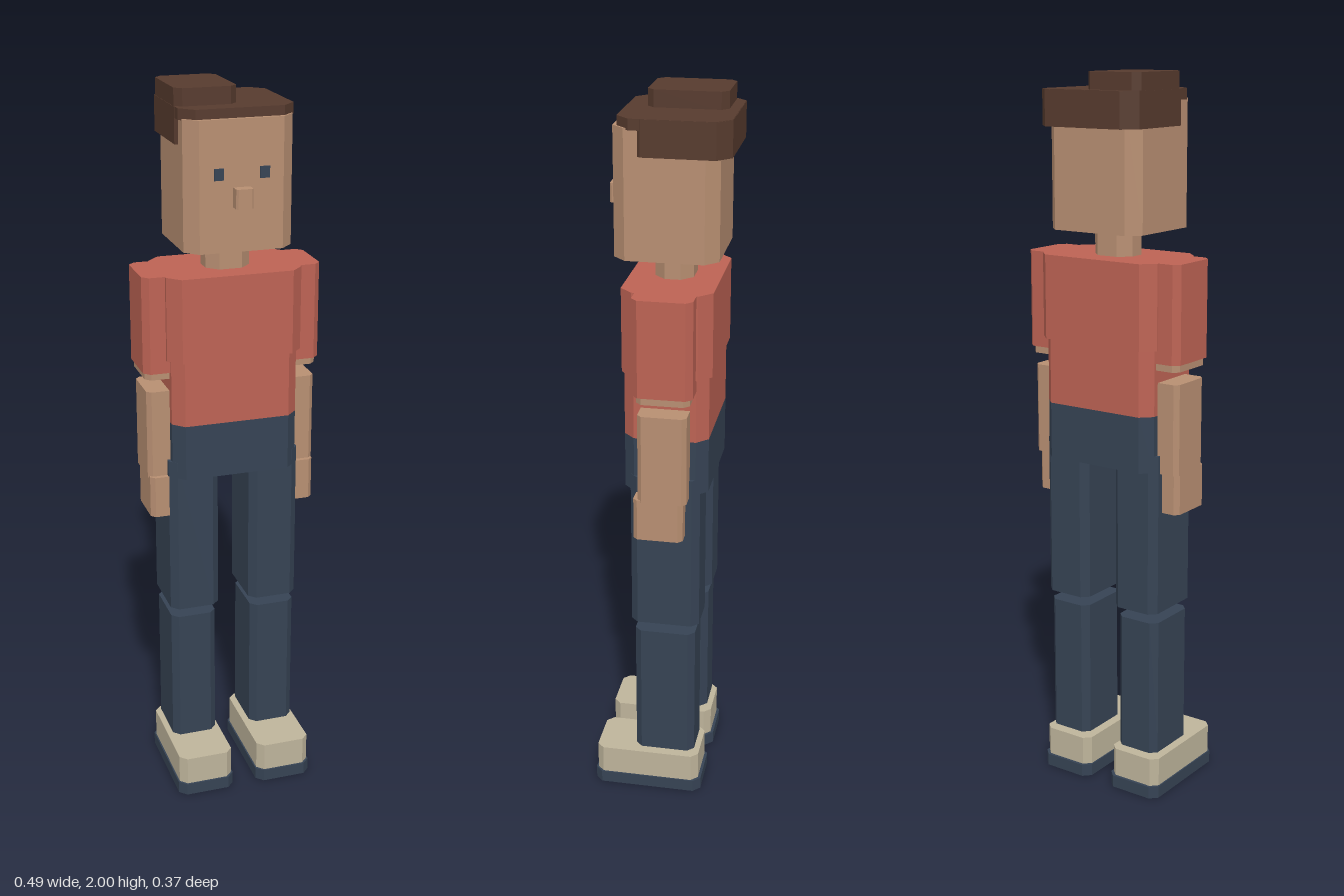
import * as THREE from 'three';

const mat = (name, color) => {
  const m = new THREE.MeshStandardMaterial({ color });
  m.name = name;
  return m;
};

export function createModel() {
  const skin = mat('skin', 0xb88f72);
  const shirt = mat('shirt red', 0xbd6354);
  const navy = mat('navy', 0x364354);
  const hair = mat('hair brown', 0x573b2e);
  const canvas = mat('shoe beige', 0xbeb49b);

  const model = new THREE.Group();
  model.name = 'figure';

  // Upright block with chamfered vertical edges; each range is [min, max]
  function block(name, material, [x0, x1], [y0, y1], [z0, z1], c, parent = model) {
    const outline = [
      [x0 + c, z0], [x1 - c, z0], [x1, z0 + c], [x1, z1 - c],
      [x1 - c, z1], [x0 + c, z1], [x0, z1 - c], [x0, z0 + c],
    ].map(([x, z]) => new THREE.Vector2(x, -z));
    const geo = new THREE.ExtrudeGeometry(new THREE.Shape(outline), { depth: y1 - y0, bevelEnabled: false });
    geo.rotateX(-Math.PI / 2);
    geo.translate(0, y0, 0);
    const mesh = new THREE.Mesh(geo, material);
    mesh.name = name;
    parent.add(mesh);
  }

  // Head, face and neck
  block('head', skin, [-0.146, 0.146], [1.59, 1.93], [-0.155, 0.12], 0.034);
  block('nose', skin, [-0.023, 0.023], [1.707, 1.758], [0.1, 0.15], 0.005);
  block('neck', skin, [-0.061, 0.061], [1.5, 1.6], [-0.075, 0.028], 0.03);

  // Hair: thin cap, deeper back, offset tuft
  block('hairCap', hair, [-0.153, 0.153], [1.926, 1.955], [-0.184, 0.108], 0.036);
  block('hairBack', hair, [-0.154, 0.154], [1.86, 1.954], [-0.185, 0.078], 0.036);
  block('hairTuft', hair, [-0.153, 0.011], [1.95, 2.0], [-0.157, 0.053], 0.018);

  // Torso
  block('chest', shirt, [-0.187, 0.187], [1.29, 1.52], [-0.147, 0.095], 0.034);
  block('waist', shirt, [-0.176, 0.176], [1.11, 1.29], [-0.138, 0.09], 0.03);
  block('pelvis', navy, [-0.176, 0.176], [0.955, 1.11], [-0.138, 0.09], 0.03);

  // Paired parts
  for (const [label, s] of [['left', 1], ['right', -1]]) {
    const side = new THREE.Group();
    side.name = label + 'Limbs';
    model.add(side);
    const span = (a, b) => (s > 0 ? [a, b] : [-b, -a]);
    const part = (name, material, x, y, z, c) =>
      block(label + name, material, span(...x), y, z, c, side);

    // Arm
    part('Sleeve', shirt, [0.13, 0.247], [1.255, 1.52], [-0.108, 0.052], 0.017);
    part('UpperArm', skin, [0.135, 0.241], [1.235, 1.27], [-0.1, 0.042], 0.015);
    part('Forearm', skin, [0.14, 0.238], [0.95, 1.2], [-0.092, 0.04], 0.012);
    part('Hand', skin, [0.145, 0.235], [0.838, 0.955], [-0.082, 0.053], 0.012);

    // Leg
    part('Thigh', navy, [0.045, 0.185], [0.55, 1.0], [-0.119, 0.072], 0.02);
    part('Shin', navy, [0.053, 0.182], [0.128, 0.52], [-0.108, 0.062], 0.018);

    // Shoe
    part('ShoeUpper', canvas, [0.039, 0.195], [0.03, 0.117], [-0.122, 0.176], 0.019);
    part('ShoeSole', navy, [0.035, 0.199], [0, 0.035], [-0.13, 0.181], 0.02);

    // Eye plate
    const eye = new THREE.Mesh(new THREE.BoxGeometry(0.026, 0.03, 0.008), navy);
    eye.name = label + 'Eye';
    eye.position.set(s * 0.061, 1.793, 0.12);
    side.add(eye);
  }

  return model;
}
